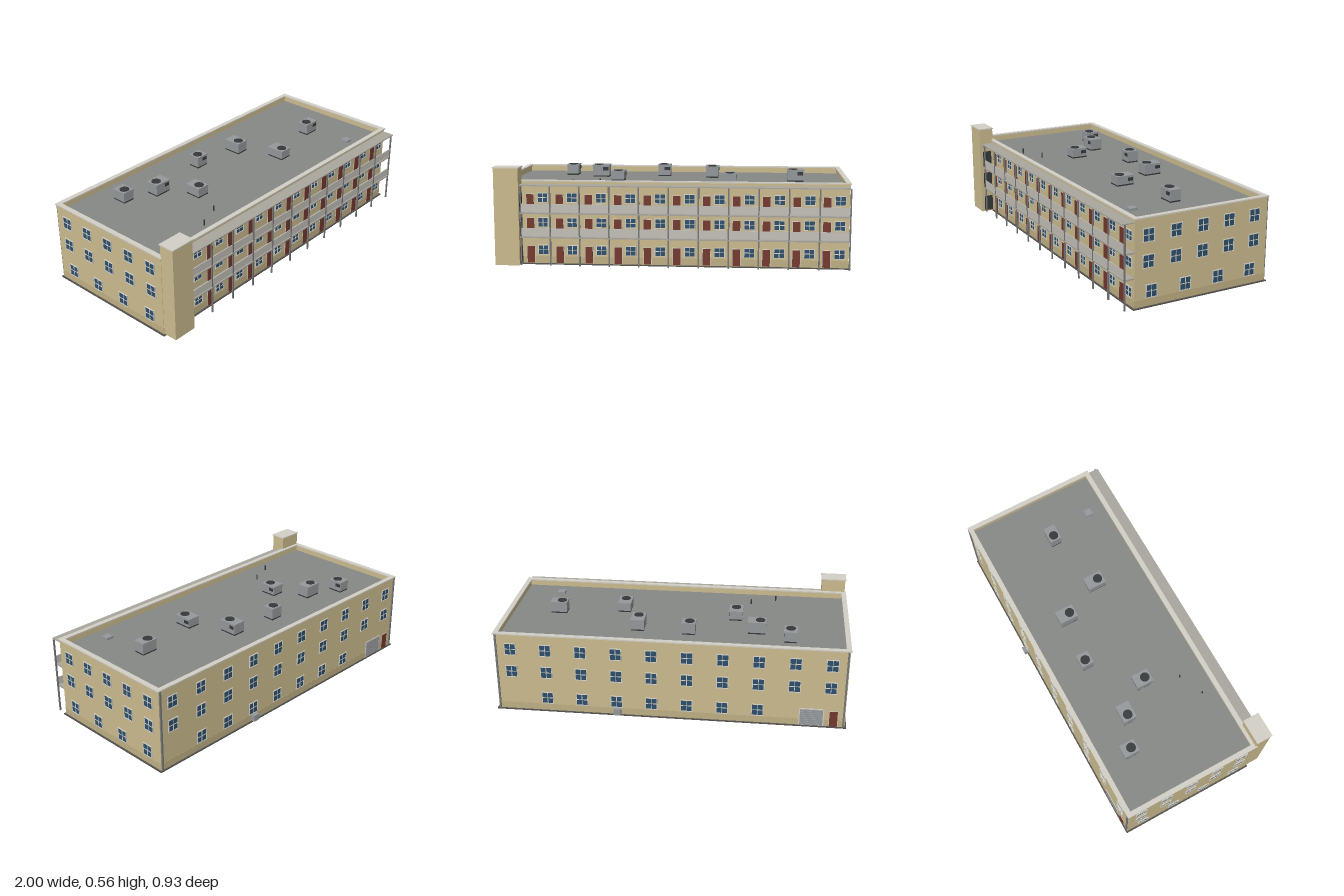
import * as THREE from 'three';

const mat = (color, extra = {}) => new THREE.MeshStandardMaterial({ color, ...extra });
const M = {
  wall: mat(0xcbbb8e), skirt: mat(0xbfaf84), trim: mat(0xd2cfc6), concrete: mat(0xc4c0b8),
  slab: mat(0xa9a69e), roof: mat(0x868886), base: mat(0x55534f), glass: mat(0x2d4f6b),
  door: mat(0x74382c), dark: mat(0x35383a), metal: mat(0x94989b), pipe: mat(0x77787a),
};

// Box given by its min and max on each axis
function box(parent, name, material, [x0, x1], [y0, y1], [z0, z1]) {
  const mesh = new THREE.Mesh(new THREE.BoxGeometry(x1 - x0, y1 - y0, z1 - z0), material);
  mesh.position.set((x0 + x1) / 2, (y0 + y1) / 2, (z0 + z1) / 2);
  mesh.name = name;
  parent.add(mesh);
  return mesh;
}

function cylinder(parent, name, material, r, h, x, y, z, sides = 20) {
  const mesh = new THREE.Mesh(new THREE.CylinderGeometry(r, r, h, sides), material);
  mesh.position.set(x, y, z);
  mesh.name = name;
  parent.add(mesh);
}

function group(parent, name, x = 0, y = 0, z = 0, turn = 0) {
  const g = new THREE.Group();
  g.name = name;
  g.position.set(x, y, z);
  g.rotation.y = turn;
  parent.add(g);
  return g;
}

// Four-pane window on a wall plane, facing local +z
function addWindow(wall, x, y, w, h) {
  const g = group(wall, 'window', x, y, 0);
  const a = w / 2, b = h / 2, t = 0.004, m = 0.0018;
  box(g, 'glass', M.glass, [-a + t, a - t], [-b + t, b - t], [-0.002, 0.002]);
  for (const s of [-1, 1]) {
    const cx = s * (a - t / 2), cy = s * (b - t / 2);
    box(g, 'frameSide', M.trim, [cx - t / 2, cx + t / 2], [-b, b], [-0.002, 0.005]);
    box(g, 'frameRail', M.trim, [-a, a], [cy - t / 2, cy + t / 2], [-0.002, 0.005]);
  }
  box(g, 'mullion', M.trim, [-m, m], [-b, b], [-0.002, 0.004]);
  box(g, 'crossBar', M.trim, [-a, a], [-m, m], [-0.002, 0.004]);
}

function addDoor(wall, x, y, w, h) {
  const g = group(wall, 'door', x, y, 0);
  box(g, 'doorFrame', M.trim, [-w / 2 - 0.003, w / 2 + 0.003], [0, h + 0.003], [-0.002, 0.002]);
  box(g, 'doorLeaf', M.door, [-w / 2, w / 2], [0, h], [-0.002, 0.004]);
}

// Rooftop air conditioner: long axis x, fan towards -x, grille on +z
function addAirUnit(parent, x, z, long, deep, top, turned) {
  const floor = 0.443, h = top - floor, a = long / 2, b = deep / 2;
  const g = group(parent, 'airConditioner', x, floor, z, turned ? Math.PI / 2 : 0);
  box(g, 'curb', M.dark, [-a + 0.003, a - 0.003], [0, 0.008], [-b + 0.003, b - 0.003]);
  box(g, 'casing', M.metal, [-a + 0.002, a - 0.002], [0.008, h - 0.008], [-b + 0.002, b - 0.002]);
  box(g, 'lid', M.metal, [-a, a], [h - 0.009, h - 0.003], [-b, b]);
  cylinder(g, 'fan', M.dark, 0.027, 0.006, -a + 0.035, h - 0.003, 0, 24);
  box(g, 'grille', M.dark, [a - 0.04, a - 0.008], [h - 0.035, h - 0.016], [0, b]);
}

export function createModel() {
  const model = new THREE.Group();
  model.name = 'apartmentBuilding';
  const X = 0.99, ZB = -0.435, ZF = 0.375, ROOF = 0.443, TOP = 0.476;

  // Main block, base and roof
  box(model, 'basePlate', M.base, [-1, 1], [0, 0.006], [-0.444, 0.385]);
  box(model, 'mainBlock', M.wall, [-X, X], [0.006, ROOF - 0.004], [ZB, ZF]);
  box(model, 'skirt', M.skirt, [-X - 0.001, X + 0.001], [0.006, 0.046], [ZB - 0.001, ZF + 0.001]);
  box(model, 'roofDeck', M.roof, [-X + 0.01, X - 0.01], [ROOF - 0.005, ROOF], [ZB + 0.01, ZF - 0.01]);

  // Parapet walls and their coping
  const th = 0.016, e = 0.006;
  for (const s of [-1, 1]) {
    const xs = s < 0 ? [-X, -X + th] : [X - th, X];
    const zs = s < 0 ? [ZB, ZB + th] : [ZF - th, ZF];
    box(model, 'parapetSide', M.wall, xs, [ROOF - 0.006, TOP], [ZB, ZF]);
    box(model, 'parapetLong', M.wall, [-X, X], [ROOF - 0.006, TOP], zs);
    box(model, 'copingSide', M.trim, [xs[0] - e, xs[1] + e], [TOP, TOP + 0.007], [ZB - e, ZF + e]);
    box(model, 'copingLong', M.trim, [-X - e, X + e], [TOP, TOP + 0.007], [zs[0] - e, zs[1] + e]);
  }

  // End walls: four windows below, five on each upper floor
  for (const s of [-1, 1]) {
    const wall = group(model, 'endWall', s * X, 0, 0, s * Math.PI / 2);
    for (let i = 0; i < 4; i++) addWindow(wall, -s * (0.275 - i * 0.2027), 0.086, 0.068, 0.074);
    for (const y of [0.248, 0.387])
      for (let i = 0; i < 5; i++) addWindow(wall, -s * (0.295 - i * 0.162), y, 0.068, 0.074);
  }

  // Back wall: windows, service shutter, door and meter box
  const back = group(model, 'backWall', 0, 0, ZB, Math.PI);
  for (let i = 0; i < 10; i++) {
    const x = -0.9 + i * 0.2;
    addWindow(back, x, 0.248, 0.068, 0.074);
    addWindow(back, x, 0.387, 0.068, 0.074);
    if (i > 0 && i < 8) addWindow(back, x, 0.086, 0.068, 0.074);
  }
  box(back, 'shutterFrame', M.trim, [0.732, 0.872], [0.006, 0.113], [-0.002, 0.003]);
  for (let i = 0; i < 8; i++)
    box(back, 'shutterSlat', M.metal, [0.738, 0.866], [0.008 + i * 0.0125, 0.019 + i * 0.0125], [0, 0.005]);
  addDoor(back, 0.925, 0.006, 0.045, 0.095);
  box(back, 'meterBox', M.metal, [-0.315, -0.275], [0.01, 0.047], [0, 0.026]);
  for (const s of [-1, 1])
    box(back, 'downpipe', M.pipe, [s * 0.982 - 0.005, s * 0.982 + 0.005], [0.006, TOP], [0, 0.007]);

  // Stair tower with cap and a doorway onto each walkway
  const tower = group(model, 'stairTower');
  box(tower, 'towerWalls', M.wall, [-0.988, -0.848], [0.008, 0.557], [0.372, 0.46]);
  box(tower, 'towerCap', M.trim, [-0.993, -0.843], [0.557, 0.563], [0.368, 0.465]);
  for (const y of [0.014, 0.172, 0.314])
    box(tower, 'doorway', M.dark, [-0.85, -0.846], [y, y + 0.097], [0.386, 0.441]);

  // Front galleries: slabs, solid balustrades and canopy
  const gallery = group(model, 'gallery'), G0 = -0.848, G1 = 0.987, bay = 0.1667;
  for (const y of [0.165, 0.302]) {
    box(gallery, 'walkway', M.slab, [G0, G1], [y - 0.004, y + 0.004], [ZF, 0.436]);
    box(gallery, 'balustrade', M.concrete, [G0, G1], [y + 0.008, y + 0.053], [0.428, 0.432]);
  }
  box(gallery, 'canopy', M.slab, [G0, G1], [0.457, 0.463], [ZF, 0.447]);
  for (let i = 0; i <= 11; i++) {
    const x = G0 + 0.004 + i * bay;
    box(gallery, 'post', M.pipe, [x - 0.004, x + 0.004], [0.004, 0.458], [0.427, 0.435]);
  }

  // One door and one window per bay and floor
  const front = group(model, 'frontWall', 0, 0, ZF);
  for (let i = 0; i < 11; i++) {
    const x = G0 + i * bay;
    for (const [doorY, winY] of [[0.008, 0.084], [0.169, 0.243], [0.306, 0.384]]) {
      addDoor(front, x + 0.047, doorY, 0.042, 0.096);
      addWindow(front, x + 0.119, winY, 0.062, 0.057);
    }
  }

  // Rooftop equipment: x, z, length, depth, top, turned
  const units = [
    [-0.665, -0.25, 0.09, 0.075, 0.511, true], [-0.475, -0.165, 0.105, 0.08, 0.518, false],
    [-0.345, 0.013, 0.1, 0.08, 0.505, true], [-0.09, -0.22, 0.08, 0.073, 0.517, false],
    [0.205, -0.182, 0.11, 0.08, 0.514, true], [0.32, 0.065, 0.11, 0.08, 0.503, true],
    [0.703, -0.013, 0.1, 0.07, 0.516, false],
  ];
  for (const u of units) addAirUnit(model, ...u);
  box(model, 'roofHatch', M.metal, [0.73, 0.775], [ROOF, ROOF + 0.014], [0.232, 0.277]);
  for (const [x, z] of [[-0.57, 0.278], [-0.425, 0.215]])
    cylinder(model, 'ventPipe', M.dark, 0.004, 0.032, x, ROOF + 0.016, z, 8);

  return model;
}
